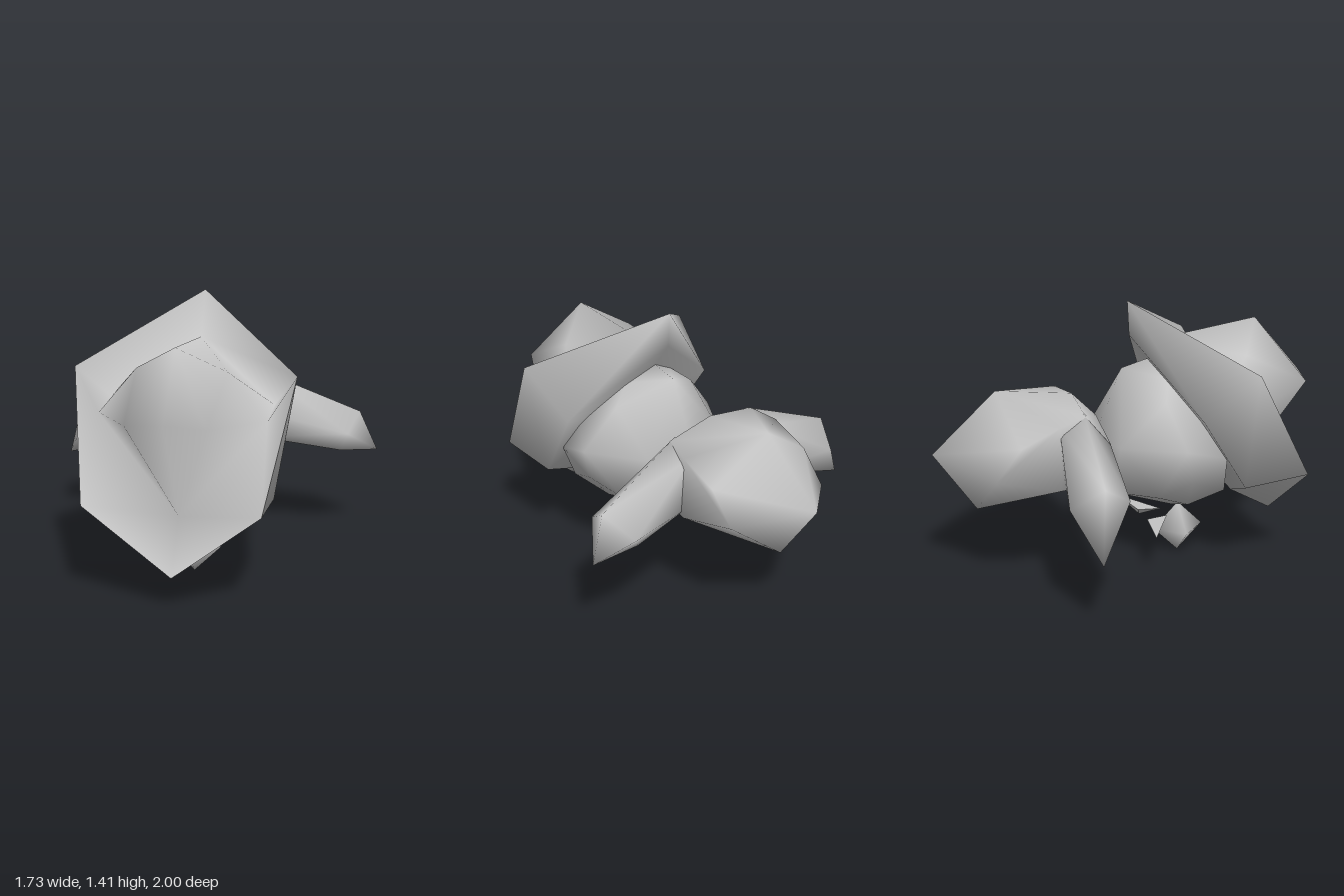
import * as THREE from 'three';
import { mergeVertices, toCreasedNormals } from 'three/addons/utils/BufferGeometryUtils.js';
import { ConvexGeometry } from 'three/addons/geometries/ConvexGeometry.js';

// Share corners so that normals blend smoothly across faces
function smooth(geo) {
  geo.deleteAttribute('normal');
  geo.deleteAttribute('uv');
  const merged = mergeVertices(geo, 1e-4);
  merged.computeVertexNormals();
  return merged;
}

// Smooth convex solid through a few points
const hull = (pts) => smooth(new ConvexGeometry(pts.map((p) => new THREE.Vector3(...p))));

// Middle points plus side points repeated on both sides
const bothSides = (middle, side) =>
  [...middle, ...side, ...side.map(([x, y, z]) => [-x, y, z])];

// Faces named by corner, given for the +x half and mirrored
function mirrored(points, faces) {
  const pos = [];
  for (const side of [1, -1]) {
    for (const face of faces) {
      const names = face.split(' ');
      if (side < 0) names.reverse();
      for (const n of names) pos.push(points[n][0] * side, points[n][1], points[n][2]);
    }
  }
  const geo = new THREE.BufferGeometry();
  geo.setAttribute('position', new THREE.Float32BufferAttribute(pos, 3));
  return smooth(geo);
}

export function createModel() {
  const group = new THREE.Group();
  const gray = new THREE.MeshStandardMaterial({ color: 0xc4c4c4, side: THREE.DoubleSide });
  gray.name = 'plain gray';

  function add(name, geo) {
    const mesh = new THREE.Mesh(geo, gray);
    mesh.name = name;
    group.add(mesh);
    return mesh;
  }

  // Head: tilted rim (A-D), its back edge (a-d), recessed roof (H, L) and muzzle
  const head = {
    A: [0, 1.41, 0.03], B: [0.54, 1.11, 0.54], C: [0.43, 0.52, 0.875], D: [0, 0.18, 0.86],
    a: [0, 1.23, 0.04], b: [0.48, 0.88, 0.27], c: [0.435, 0.49, 0.52], d: [0, 0.31, 0.63],
    H: [0, 1.19, 0.14], L: [0.41, 0.92, 0.37], T: [0, 1.27, 0.74], E: [0.22, 1.13, 0.6],
    F: [0.19, 0.95, 0.96], G: [0, 0.97, 1.0], K: [0.41, 0.9, 0.6], J: [0, 0.43, 0.69],
    M: [0, 0.75, 0.4],
  };
  add('face', mirrored(head, [
    'A H B', 'H L B', 'H T E', 'H E L', 'E K L', 'K B L', 'T G F', 'T F E',
    'E F K', 'G J F', 'F J K', 'K J C', 'K C B', 'J D C',
  ]));
  add('collar', mirrored(head, [
    'A B b', 'A b a', 'B C c', 'B c b', 'C D d', 'C d c', 'a b M', 'b c M', 'c d M',
  ]));

  // Torso: faceted ball that tucks under the collar
  add('torso', hull(bothSides(
    [[0, 0.7, -0.15], [0, 1.06, 0], [0, 1.1, 0.15], [0, 0.38, -0.05], [0, 0.27, 0.28],
      [0, 0.38, 0.57]],
    [[0.25, 0.71, -0.09], [0.15, 1.02, 0.2], [0.26, 0.93, 0.15], [0.44, 0.72, 0.2],
      [0.4, 0.65, 0.43], [0.26, 0.42, 0.12], [0.36, 0.52, 0.26], [0.2, 0.34, 0.3],
      [0.3, 0.44, 0.46], [0.3, 0.85, 0.42]],
  )));

  // Rear body: broad shoulders, wide middle, pointed back
  add('rearBody', hull(bothSides(
    [[0, 0.7, -1.0], [0, 1.0, -0.67], [0, 0.38, -0.78], [0, 0.95, -0.27],
      [0, 0.82, -0.14], [0, 0.66, -0.14], [0, 0.49, -0.3]],
    [[0.32, 0.63, -0.75], [0.32, 0.79, -0.62], [0.32, 0.55, -0.42], [0.32, 0.88, -0.42],
      [0.28, 0.91, -0.28], [0.25, 0.74, -0.14], [0.28, 0.55, -0.25]],
  )));

  // Arms: prisms sloping down and outward; the right tip droops lower
  for (const [s, name, tipY] of [[1, 'leftArm', 0.49], [-1, 'rightArm', 0.37]]) {
    const arm = [
      [0.25, 0.92, -0.28], [0.24, 0.74, -0.14], [0.24, 0.57, -0.22],
      [0.24, 0.57, -0.38], [0.26, 0.86, -0.41], [0.37, 0.7, -0.19],
      [0.77, 0.71, -0.34], [0.72, 0.62, -0.2], [0.68, 0.51, -0.26],
      [0.6, 0.5, -0.4], [0.69, 0.6, -0.49], [0.865, tipY, -0.38],
    ];
    add(name, hull(arm.map(([x, y, z]) => [s * x, y, z])));
  }

  // Hanging diamond with a pair of small leaves
  add('diamond', smooth(new THREE.OctahedronGeometry(0.139, 0))).position.set(0, 0.14, 0.32);
  for (const [s, name] of [[1, 'leftLeaf'], [-1, 'rightLeaf']]) {
    const leaf = [[0.05, 0.23, 0.24], [0.07, 0.23, 0.12], [0.325, 0.23, 0.08], [0.13, 0.18, 0.145]];
    add(name, toCreasedNormals(hull(leaf.map(([x, y, z]) => [s * x, y, z])), 0.5));
  }
  return group;
}
